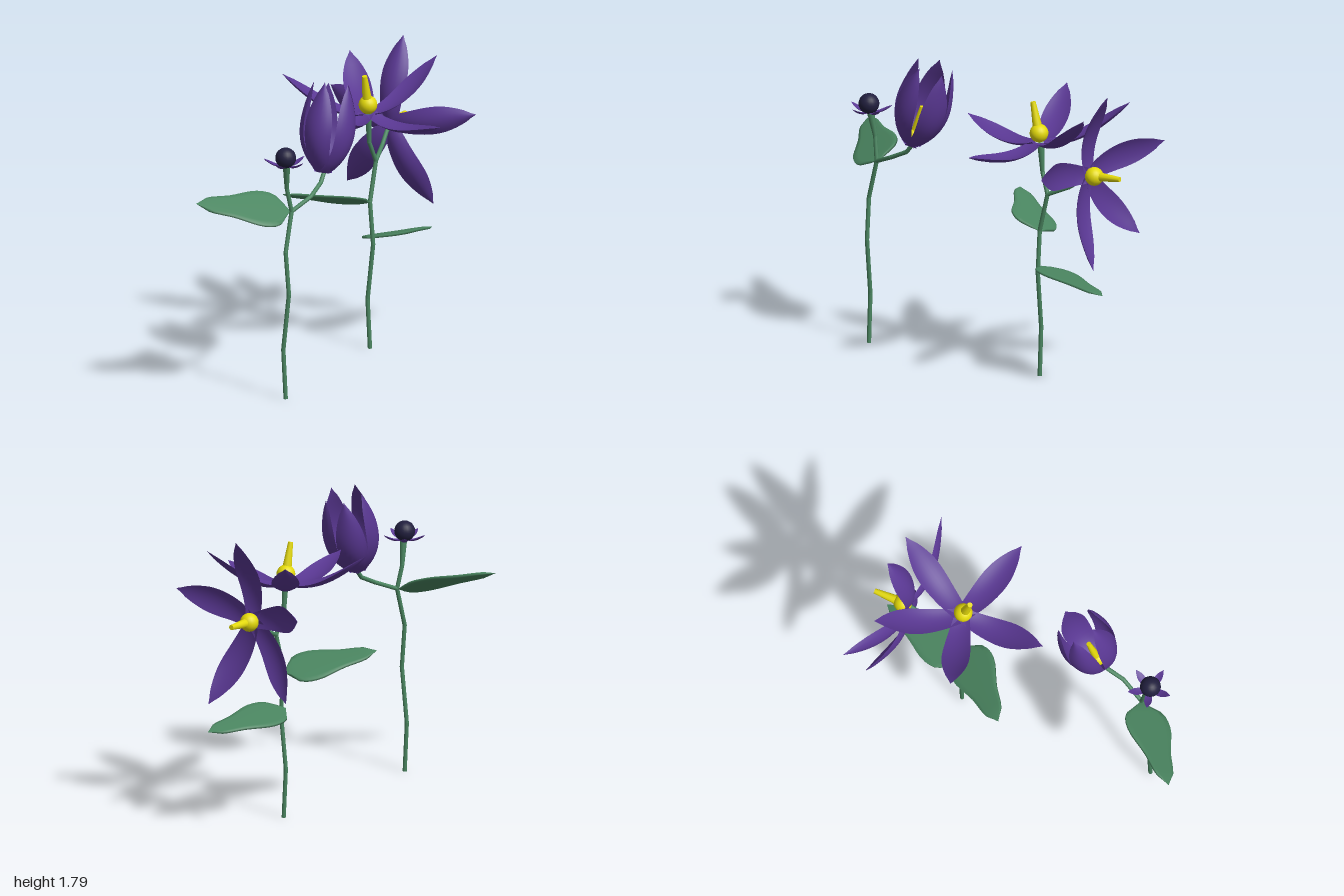
import * as THREE from 'three';

const V = (x, y, z) => new THREE.Vector3(x, y, z);
const material = (name, color) => {
  const m = new THREE.MeshStandardMaterial({ color });
  m.name = name;
  return m;
};

const PETAL = [0.6, 0.75, 0.87, 0.96, 1, 0.94, 0.74, 0.43, 0];
const LEAF = [0, 0.8, 1, 0.96, 0.78, 0.6, 0.5, 0.37, 0];

// Lens-shaped blade lofted from base to tip; "up" is the inner face direction
function bladeGeometry(base, tip, up, profile, { width, thick = 0.014, bow = 0, cup = 0, edge = 0 }) {
  const steps = 16, across = 8;
  const dir = tip.clone().sub(base).normalize();
  const side = up.clone().cross(dir).normalize();
  const normal = dir.clone().cross(side);
  const outline = new THREE.SplineCurve(
    profile.map((w, i) => new THREE.Vector2(i / (profile.length - 1), w)));
  const positions = [], index = [];
  const ring = across * 2 + 2;
  for (let s = 0; s <= steps; s++) {
    const t = s / steps;
    const w = Math.max(0, outline.getPoint(t).y);
    const centre = base.clone().lerp(tip, t)
      .addScaledVector(normal, bow * Math.sin(Math.PI * Math.pow(t, 0.8)));
    for (let k = 0; k < ring; k++) {
      const upper = k <= across;
      const v = ((upper ? k : ring - 1 - k) / across) * 2 - 1;
      const h = (thick / 2) * Math.min(1, w * 3) * (1 - (1 - edge) * v * v);
      const p = centre.clone()
        .addScaledVector(side, width * w * v)
        .addScaledVector(normal, cup * width * w * v * v + (upper ? h : -h));
      positions.push(p.x, p.y, p.z);
    }
  }
  for (let s = 0; s < steps; s++) {
    for (let k = 0; k < ring; k++) {
      const a = s * ring + k, b = s * ring + ((k + 1) % ring);
      index.push(a, a + ring, b, b, a + ring, b + ring);
    }
  }
  const g = new THREE.BufferGeometry();
  g.setAttribute('position', new THREE.Float32BufferAttribute(positions, 3));
  g.setIndex(index);
  g.computeVertexNormals();
  return g;
}

export function createModel() {
  const model = new THREE.Group();
  model.name = 'floweringStems';
  const purple = material('petalPurple', 0x593792);
  const green = material('leafGreen', 0x4a8560);
  const yellow = material('stamenYellow', 0xe4da0a);
  const navy = material('budNavy', 0x211f3e);

  const add = (parent, name, geometry, mat) => {
    const m = new THREE.Mesh(geometry, mat);
    m.name = name;
    parent.add(m);
    return m;
  };
  const group = (name) => {
    const g = new THREE.Group();
    g.name = name;
    model.add(g);
    return g;
  };
  const ball = (parent, name, p, r, mat) =>
    add(parent, name, new THREE.SphereGeometry(r, 20, 14), mat).position.copy(p);
  const rod = (parent, name, a, b, r0, r1, mat) => {
    const d = b.clone().sub(a);
    const m = add(parent, name, new THREE.CylinderGeometry(r1, r0, d.length(), 10), mat);
    m.position.copy(a).lerp(b, 0.5);
    m.quaternion.setFromUnitVectors(V(0, 1, 0), d.normalize());
  };

  // Kinked stems: each branch is a run of straight rods with rounded joints
  const branch = (name, points, r = 0.0125, endR = r) => {
    const g = group(name);
    for (let i = 0; i < points.length - 1; i++) {
      const last = i === points.length - 2;
      rod(g, 'stemSegment', points[i], points[i + 1], r, last ? endR : r, green);
      if (!last) ball(g, 'stemJoint', points[i + 1], r, green);
    }
  };
  const mainStem = (name, z) => branch(name, [
    V(-0.01, 0, z), V(-0.025, 0.29, z), V(0.01, 0.62, z), V(-0.01, 0.87, z), V(0, 1.1, z - 0.06)]);
  mainStem('frontStem', 0.705);
  mainStem('backStem', -0.465);
  branch('budBranch', [V(0, 1.1, 0.645), V(-0.02, 1.24, 0.668), V(-0.01, 1.39, 0.695)], 0.0125, 0.022);
  branch('closedFlowerBranch',
    [V(0, 1.1, 0.645), V(0.06, 1.16, 0.51), V(0.07, 1.215, 0.395), V(0.072, 1.27, 0.35)]);
  branch('upperFlowerBranch', [V(0, 1.1, -0.525), V(-0.02, 1.22, -0.478), V(-0.02, 1.39, -0.465)], 0.0125, 0.02);
  branch('rearFlowerBranch',
    [V(0, 1.1, -0.525), V(-0.02, 1.16, -0.66), V(-0.03, 1.215, -0.74), V(-0.03, 1.25, -0.8)]);

  // Leaves
  const leaf = (name, base, tip, up, width) =>
    add(model, name, bladeGeometry(base, tip, up, LEAF, { width, thick: 0.016, edge: 0.8 }), green);
  leaf('frontLeaf', V(-0.01, 1.1, 0.64), V(-0.44, 1.185, 1.0), V(0.448, 1, 0.37), 0.14);
  leaf('upperBackLeaf', V(-0.01, 0.865, -0.465), V(-0.39, 0.97, -0.08), V(-0.13, 1, -0.4), 0.135);
  leaf('lowerBackLeaf', V(-0.025, 0.655, -0.465), V(0.14, 0.605, -0.995), V(-0.2, 1, -0.14), 0.13);

  // Ring of petals from a centre to the given tips
  const petals = (parent, name, centre, axis, tips, start, options) => {
    for (const tip of tips) {
      const out = tip.clone().sub(centre);
      out.addScaledVector(axis, -out.dot(axis)).normalize();
      const base = centre.clone().addScaledVector(out, start);
      add(parent, name, bladeGeometry(base, tip, axis, PETAL, options), purple);
    }
  };
  const openPetal = { width: 0.08, bow: -0.06, cup: 0.3 };

  // Open flower facing up
  const upper = group('upperFlower');
  petals(upper, 'petal', V(-0.02, 1.39, -0.46), V(0, 1, 0), [
    V(-0.04, 1.48, 0.05), V(0.5, 1.41, -0.31), V(0.21, 1.655, -0.91),
    V(-0.325, 1.63, -0.88), V(-0.5, 1.61, -0.33)], 0.025, openPetal);
  ball(upper, 'flowerCentre', V(-0.018, 1.45, -0.455), 0.054, yellow);
  rod(upper, 'stamen', V(-0.018, 1.46, -0.45), V(-0.02, 1.63, -0.412), 0.03, 0.015, yellow);

  // Open flower facing back
  const rear = group('rearFlower');
  petals(rear, 'petal', V(-0.03, 1.25, -0.78), V(0, 0, -1), [
    V(-0.01, 1.745, -0.93), V(0.5, 1.36, -0.81), V(0.17, 0.755, -0.95),
    V(-0.36, 0.84, -0.92), V(-0.5, 1.375, -1.0)], 0.025, openPetal);
  ball(rear, 'flowerCentre', V(-0.03, 1.25, -0.825), 0.054, yellow);
  rod(rear, 'stamen', V(-0.03, 1.252, -0.83), V(-0.03, 1.26, -1.0), 0.03, 0.015, yellow);

  // Half-closed flower
  const azimuths = [-2, 74, 150, 217, 286].map(THREE.MathUtils.degToRad);
  const closed = group('closedFlower');
  const foot = V(0.07, 1.265, 0.36), axis = V(-0.005, 0.5, -0.15).normalize();
  const tilt = new THREE.Quaternion().setFromUnitVectors(V(0, 1, 0), axis);
  const closedTips = azimuths.map((a) =>
    V(Math.sin(a) * 0.11, 0.515, Math.cos(a) * 0.11).applyQuaternion(tilt).add(foot));
  petals(closed, 'petal', foot, axis, closedTips, 0.02,
    { width: 0.085, bow: -0.095, cup: 0.3 });
  ball(closed, 'flowerCentre', foot.clone().addScaledVector(axis, 0.06), 0.045, yellow);
  rod(closed, 'stamen', foot.clone().addScaledVector(axis, 0.06),
    foot.clone().addScaledVector(axis, 0.25), 0.027, 0.014, yellow);

  // Round bud with small sepals
  const bud = group('bud');
  const budFoot = V(-0.01, 1.385, 0.7);
  petals(bud, 'sepal', budFoot, V(0, 1, 0),
    azimuths.map((a) => V(Math.sin(a) * 0.13, 0.037, Math.cos(a) * 0.13).add(budFoot)), 0.01,
    { width: 0.022, thick: 0.007, bow: -0.016, cup: 0.3 });
  ball(bud, 'budBall', V(-0.01, 1.432, 0.705), 0.06, navy);

  return model;
}
